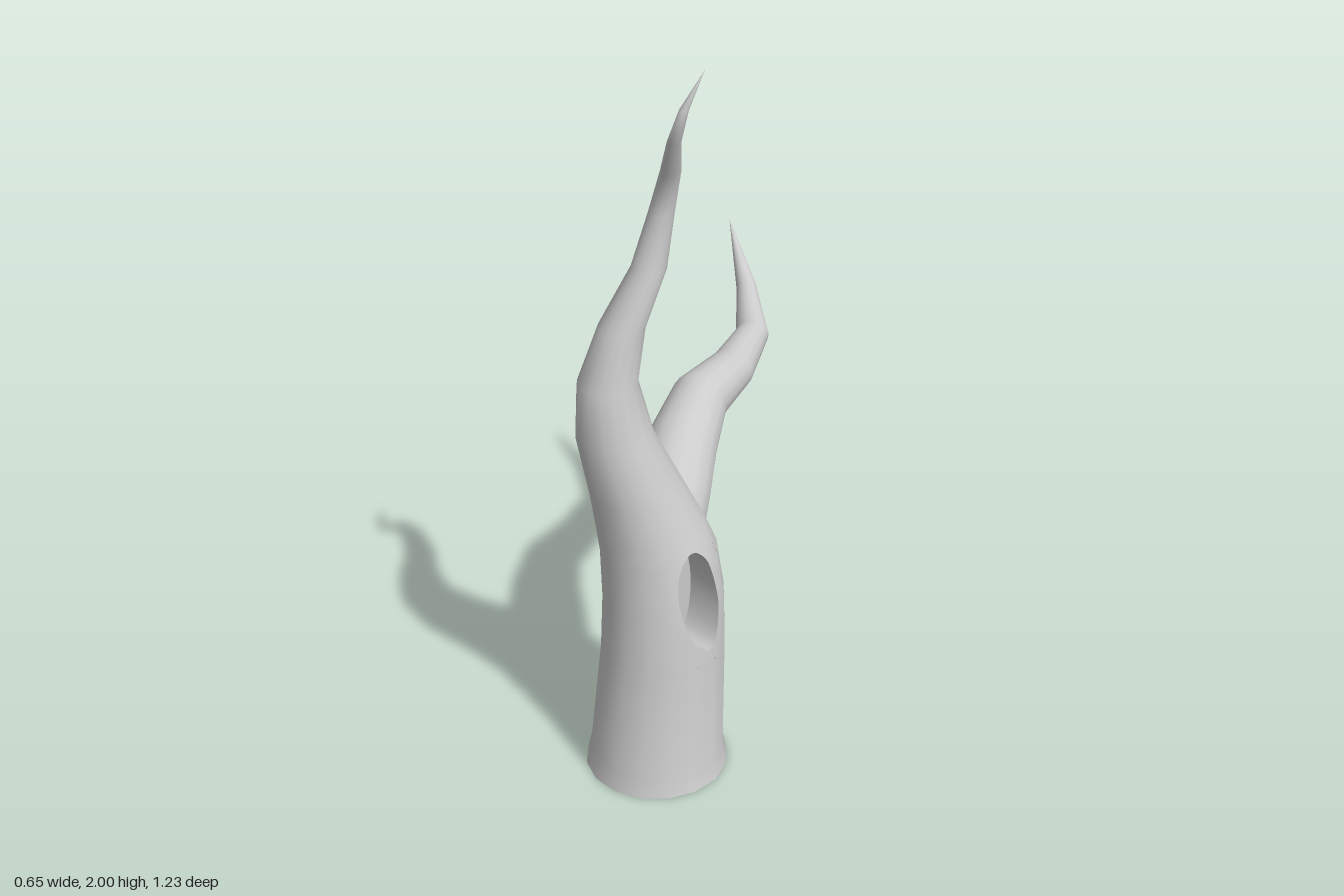
import * as THREE from 'three';

const SIDES = 16;
const V = (x, y, z) => new THREE.Vector3(x, y, z);

// trunk cross-sections: height, centre x, centre z, radius
const TRUNK = [
  [0, 0.128, 0.42, 0.197], [0.05, 0.127, 0.417, 0.186], [0.37, 0.126, 0.381, 0.171],
  [0.52, 0.118, 0.367, 0.166], [0.65, 0.098, 0.36, 0.158], [0.72, 0.082, 0.37, 0.148],
  [0.82, 0.057, 0.39, 0.13], [1.0, 0.018, 0.437, 0.103], [1.15, 0.003, 0.443, 0.08],
  [1.3, 0.022, 0.402, 0.062], [1.45, 0.062, 0.337, 0.047], [1.59, 0.073, 0.295, 0.034],
  [1.71, 0.11, 0.307, 0.027], [1.82, 0.167, 0.372, 0.018], [1.91, 0.2, 0.377, 0.012],
  [2.0, 0.222, 0.32, 0],
];

// branch sections: centre x, y, z, radius
const BRANCH = [
  [0.08, 0.66, 0.32, 0.115], [0.035, 0.75, 0.2, 0.108], [0, 0.82, 0.1, 0.097],
  [-0.035, 0.88, -0.03, 0.082], [-0.05, 0.89, -0.21, 0.065], [-0.093, 0.92, -0.385, 0.048],
  [-0.195, 0.998, -0.505, 0.03], [-0.33, 1.145, -0.615, 0],
];

// centre and radius of the trunk at any height
function section(y) {
  let i = 1;
  while (i < TRUNK.length - 1 && TRUNK[i][0] < y) i++;
  const a = TRUNK[i - 1], b = TRUNK[i];
  const t = THREE.MathUtils.clamp((y - a[0]) / (b[0] - a[0]), 0, 1);
  return [1, 2, 3].map((k) => a[k] + (b[k] - a[k]) * t);
}

// point on the faceted trunk
function trunkPoint(th, y) {
  const [cx, cz, r] = section(y);
  const step = (Math.PI * 2) / SIDES;
  const local = th - (Math.floor(th / step + 1e-6) + 0.5) * step;
  const q = (r * Math.cos(step / 2)) / Math.cos(local);
  return V(cx + q * Math.cos(th), y, cz + q * Math.sin(th));
}

// smooth trunk normal from the slope of its sections
function trunkNormal(th, y) {
  const lo = Math.max(0, y - 0.05), hi = Math.min(2, y + 0.05);
  const a = section(lo), b = section(hi);
  const [dx, dz, dr] = a.map((v, k) => (b[k] - v) / (hi - lo));
  const c = Math.cos(th), s = Math.sin(th);
  return V(c, -(dx * c + dz * s + dr), s).normalize();
}

// skin a list of closed rings, optionally leaving cells out
function loft(rings, normals, skip = () => false) {
  const n = rings[0].length, index = [];
  for (let i = 0; i < rings.length - 1; i++) {
    for (let j = 0; j < n; j++) {
      if (skip(i, j)) continue;
      const a = i * n + j, b = i * n + ((j + 1) % n), c = a + n, d = b + n;
      index.push(a, c, b, b, c, d);
    }
  }
  const g = new THREE.BufferGeometry().setFromPoints(rings.flat());
  g.setIndex(index);
  g.computeVertexNormals();
  if (normals) normals.flat().forEach((v, i) => g.attributes.normal.setXYZ(i, v.x, v.y, v.z));
  return g;
}

const range = (n, fn) => Array.from({ length: n }, (_, i) => fn(i));

export function createModel() {
  const group = new THREE.Group();
  const material = new THREE.MeshStandardMaterial({ color: 0xcccccc, side: THREE.DoubleSide });
  const add = (name, geometry) => {
    const mesh = new THREE.Mesh(geometry, material);
    mesh.name = name;
    group.add(mesh);
    return mesh;
  };

  // trunk, leaving a window for the hollow
  const angle = (j) => (j / SIDES) * Math.PI * 2;
  const trunkRings = (fn) => TRUNK.map(([y]) => range(SIDES, (j) => fn(angle(j), y)));
  const inWindow = (i, j) => TRUNK[i][0] >= 0.37 && TRUNK[i][0] < 0.72 && (j < 2 || j === SIDES - 1);
  add('trunk', loft(trunkRings(trunkPoint), trunkRings(trunkNormal), inWindow));

  // flat underside
  const base = add('trunkBase', new THREE.CircleGeometry(TRUNK[0][3], SIDES));
  base.rotation.x = Math.PI / 2;
  base.position.set(TRUNK[0][1], 0, TRUNK[0][2]);

  // bark between the window border and the oval opening
  const N = 48, STEPS = 6;
  const midAngle = angle(0.5), halfAngle = angle(1.5), midY = 0.545, halfY = 0.175;
  const collar = range(STEPS + 1, (i) => range(N, (k) => {
    const f = (k / N) * Math.PI * 2, c = Math.cos(f), s = Math.sin(f);
    const m = Math.max(Math.abs(c), Math.abs(s));
    const y = 0.547 + 0.142 * s;
    const [, cz, r] = section(y);
    const th = Math.asin((0.4 + 0.065 * c - cz) / r);
    const t = i / STEPS;
    return [
      THREE.MathUtils.lerp(midAngle + (halfAngle * c) / m, th, t),
      THREE.MathUtils.lerp(midY + (halfY * s) / m, y, t),
    ];
  }));
  const mapCollar = (fn) => collar.map((ring) => ring.map(([th, y]) => fn(th, y)));
  const collarPoints = mapCollar(trunkPoint);
  add('hollowCollar', loft(collarPoints, mapCollar(trunkNormal)));

  // hollow wall and floor
  const rim = collarPoints[STEPS];
  const floorX = 0.175;
  const floorRing = rim.map((p) => V(floorX, p.y - 0.008, p.z - 0.016));
  add('hollowWall', loft([rim, floorRing]));
  add('hollowFloor', loft([floorRing, floorRing.map(() => V(floorX, 0.539, 0.384))]));

  // side branch, with rings square to its path
  const path = BRANCH.map(([x, y, z]) => V(x, y, z));
  const branchRings = path.map((p, i) => {
    const t = path[Math.min(i + 1, path.length - 1)].clone().sub(path[Math.max(i - 1, 0)]).normalize();
    const u = t.clone().cross(V(0, 1, 0)).normalize();
    const v = u.clone().cross(t);
    const r = BRANCH[i][3];
    return range(SIDES, (j) => p.clone()
      .addScaledVector(u, r * Math.cos(angle(j)))
      .addScaledVector(v, r * Math.sin(angle(j))));
  });
  add('branch', loft(branchRings));

  return group;
}
